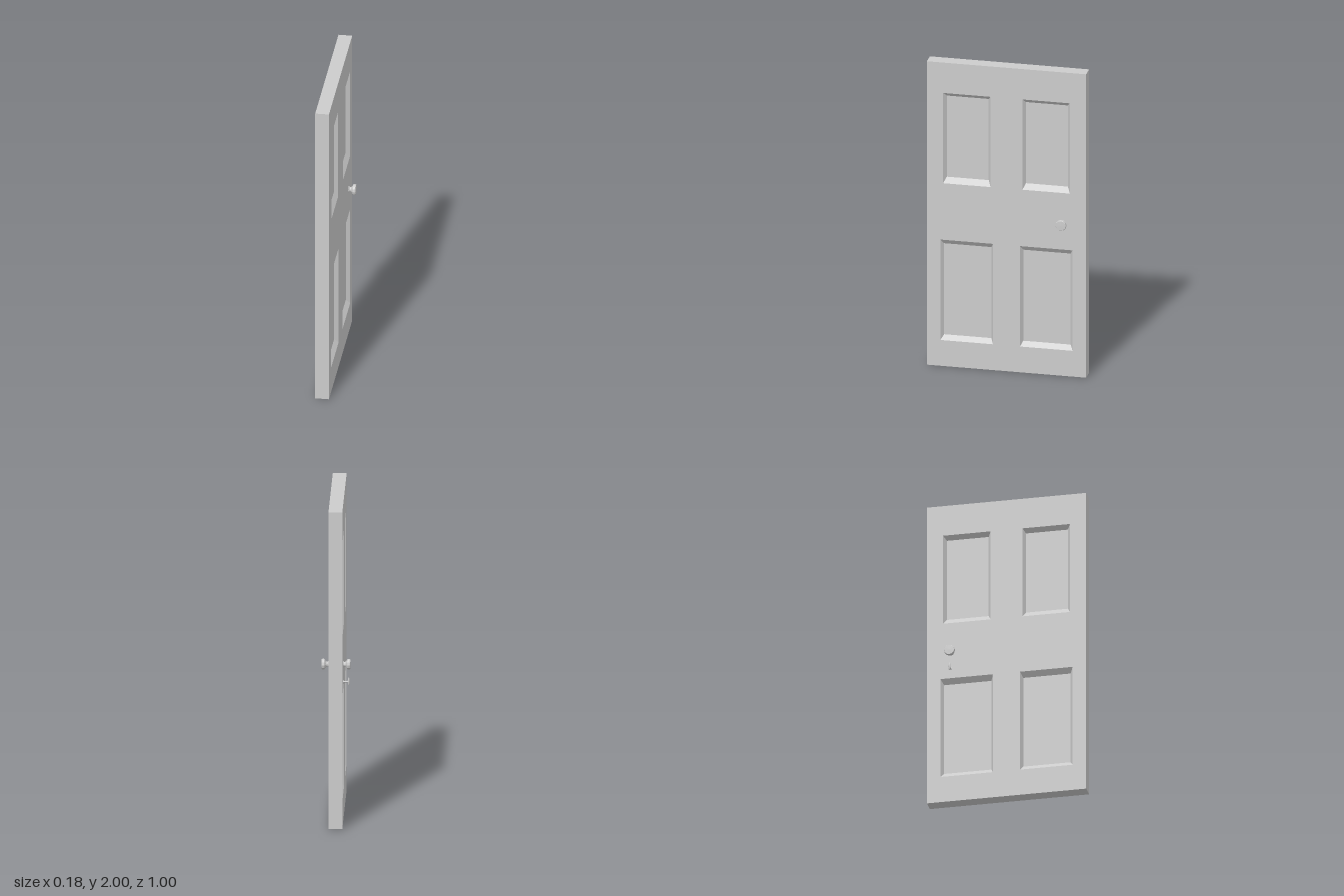
import * as THREE from 'three';

const HALF = 0.0425;      // half of the slab thickness
const DEPTH = 0.025;      // depth of the sunken panels
const SHIFT = -0.0025;    // slab sits slightly off centre
const HANDLE_Z = -0.35;

// Sunken panels: outer rectangle and inner rectangle as [u0, v0, u1, v1]
const PANELS = [
  { outer: [0.1, 1.205, 0.398, 1.8], inner: [0.117, 1.24, 0.38, 1.775] },
  { outer: [0.085, 0.17, 0.415, 0.832], inner: [0.1, 0.2, 0.397, 0.8] },
];
const flip = ([a, b, c, d]) => [-c, b, -a, d];
const corners = ([a, b, c, d]) => [[a, b], [c, b], [c, d], [a, d]];

function quads(list) {
  const pos = [];
  for (const [a, b, c, d] of list) pos.push(...a, ...b, ...c, ...a, ...c, ...d);
  const geo = new THREE.BufferGeometry();
  geo.setAttribute('position', new THREE.Float32BufferAttribute(pos, 3));
  geo.computeVertexNormals();
  return geo;
}

// Four sloping sides and a flat floor, facing +z
function recess(outer, inner) {
  const o = corners(outer).map(([u, v]) => [u, v, HALF]);
  const i = corners(inner).map(([u, v]) => [u, v, HALF - DEPTH]);
  const list = [i];
  for (let k = 0; k < 4; k++) {
    const n = (k + 1) % 4;
    list.push([o[k], o[n], i[n], i[k]]);
  }
  return quads(list);
}

export function createModel() {
  const model = new THREE.Group();
  const material = new THREE.MeshStandardMaterial({ color: 0xcccccc });
  const flat = new THREE.MeshStandardMaterial({ color: 0xcccccc, flatShading: true });
  const add = (parent, name, geo, mat = material) => {
    const mesh = new THREE.Mesh(geo, mat);
    mesh.name = name;
    parent.add(mesh);
    return mesh;
  };

  const allPanels = PANELS.flatMap((p) => [p, { outer: flip(p.outer), inner: flip(p.inner) }]);
  const points = (rect) => corners(rect).map(([u, v]) => new THREE.Vector2(u, v));

  // Door face with openings
  const faceShape = new THREE.Shape(points([-0.5, 0, 0.5, 2]));
  for (const p of allPanels) faceShape.holes.push(new THREE.Path(points(p.outer).reverse()));
  const faceGeo = new THREE.ShapeGeometry(faceShape).translate(0, 0, HALF);

  // Knob: foot, waist, flared head with chamfered rim
  const profile = [
    [0.021, 0], [0.019, 0.004], [0.015, 0.008], [0.0155, 0.014], [0.02, 0.02],
    [0.032, 0.027], [0.034, 0.031], [0.034, 0.041], [0.031, 0.0455], [0, 0.0465],
  ].map(([r, h]) => new THREE.Vector2(r, h));
  const knobGeo = new THREE.LatheGeometry(profile, 12).rotateX(Math.PI / 2);

  // Both sides of the door, each built facing +z and turned outward
  for (const side of [1, -1]) {
    const half = new THREE.Group();
    half.name = side > 0 ? 'leftSide' : 'rightSide';
    half.rotation.y = side * Math.PI / 2;
    half.position.x = SHIFT;
    add(half, 'doorFace', faceGeo);
    for (const p of allPanels) add(half, 'sunkenPanel', recess(p.outer, p.inner));
    add(half, 'knob', knobGeo, flat).position.set(-side * HANDLE_Z, 1.005, HALF);
    model.add(half);
  }

  // Narrow edges around the slab
  const ring = corners([-0.5, 0, 0.5, 2]);
  const edges = ring.map(([z, y], k) => {
    const [z2, y2] = ring[(k + 1) % 4];
    const a = SHIFT - HALF, b = SHIFT + HALF;
    return [[a, y, z], [b, y, z], [b, y2, z2], [a, y2, z2]];
  });
  // Counter-clockwise in (z, y) seen from -x, so the order a-b-b-a must face outward
  for (const q of edges) {
    const [p0, p1, p2] = q.map((v) => new THREE.Vector3(...v));
    const normal = p1.clone().sub(p0).cross(p2.clone().sub(p0));
    const out = p0.clone().add(p2).multiplyScalar(0.5).sub(new THREE.Vector3(SHIFT, 1, 0));
    if (normal.dot(out) < 0) q.reverse();
  }
  add(model, 'doorEdges', quads(edges));

  // Thumb turn of the lock, on the right side only
  const turn = new THREE.Group();
  turn.name = 'thumbTurn';
  turn.position.set(SHIFT - HALF, 0.895, HANDLE_Z);
  const stem = [[0.009, 0], [0.009, 0.003], [0.004, 0.005], [0.004, 0.026], [0.008, 0.034]]
    .map(([r, h]) => new THREE.Vector2(r, h));
  add(turn, 'turnStem', new THREE.LatheGeometry(stem, 10).rotateZ(Math.PI / 2), flat);
  const grip = new THREE.SphereGeometry(1, 10, 8).scale(0.006, 0.026, 0.008);
  add(turn, 'turnGrip', grip).position.x = -0.036;
  model.add(turn);

  return model;
}
